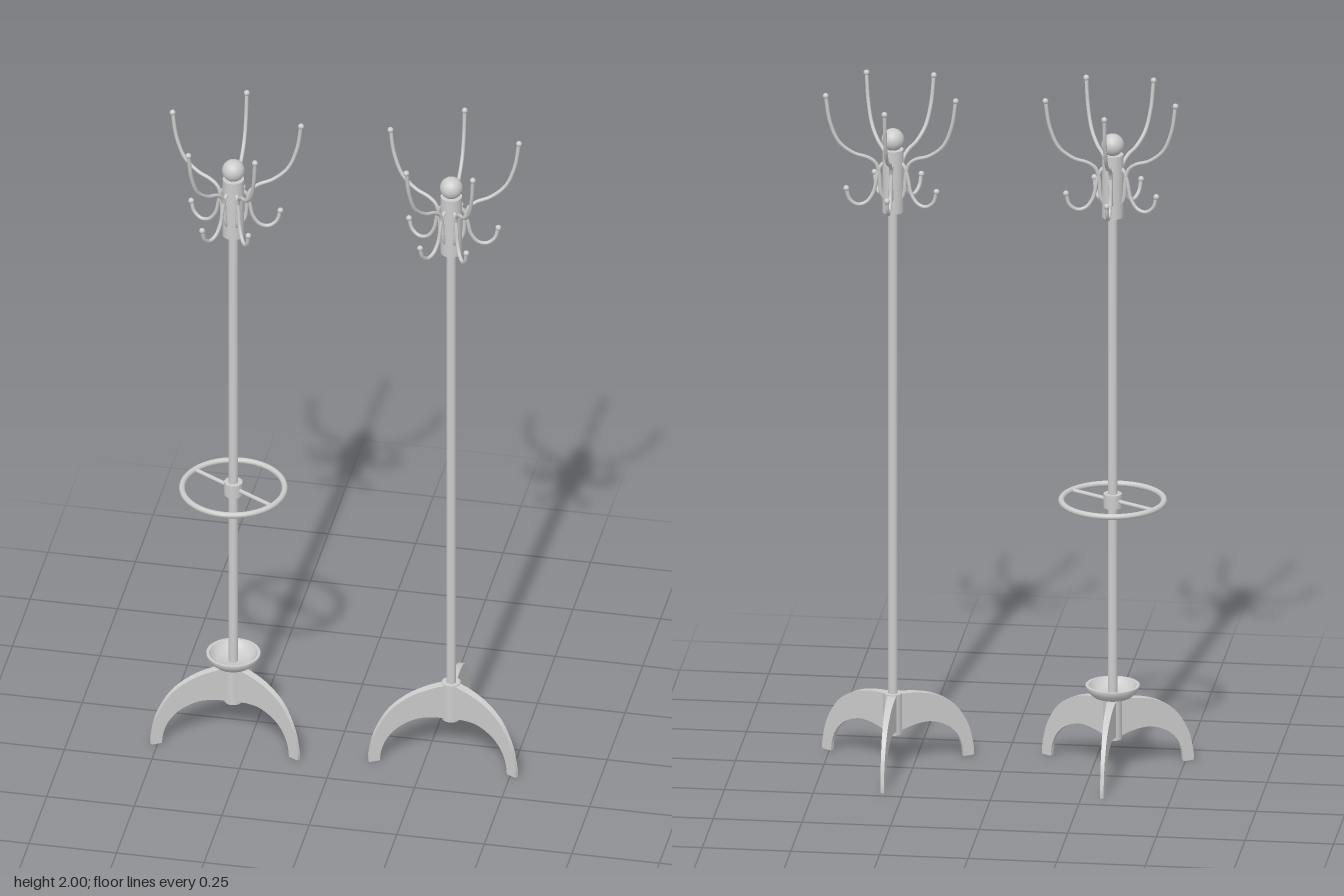
import * as THREE from 'three';
import { toCreasedNormals } from 'three/addons/utils/BufferGeometryUtils.js';

const grey = new THREE.MeshStandardMaterial({ color: 0xcccccc });
const greyDouble = new THREE.MeshStandardMaterial({ color: 0xcccccc, side: THREE.DoubleSide });

function add(parent, name, geometry, x = 0, y = 0, z = 0, material = grey) {
  const mesh = new THREE.Mesh(geometry, material);
  mesh.name = name;
  mesh.position.set(x, y, z);
  parent.add(mesh);
  return mesh;
}

// Upright cylinder given by its bottom and top heights
function post(parent, name, radius, y0, y1) {
  return add(parent, name, new THREE.CylinderGeometry(radius, radius, y1 - y0, 24), 0, (y0 + y1) / 2, 0);
}

// Bent rod in the (radius, height) plane with a small ball on its tip
function rod(parent, name, points, radius) {
  const curve = new THREE.CatmullRomCurve3(points.map(([r, y]) => new THREE.Vector3(r, y, 0)));
  add(parent, name, new THREE.TubeGeometry(curve, 40, radius, 8));
  const [r, y] = points[points.length - 1];
  add(parent, name + 'Tip', new THREE.SphereGeometry(0.0085, 12, 8), r, y, 0);
}

// Arched flat foot that gets thinner towards the ground
function legGeometry() {
  const v = ([x, y]) => new THREE.Vector2(x, y);
  const shape = new THREE.Shape();
  shape.moveTo(0, 0.212);
  shape.splineThru([[0.06, 0.21], [0.125, 0.195], [0.185, 0.158], [0.226, 0.095], [0.243, 0.03], [0.244, 0]].map(v));
  shape.lineTo(0.213, 0);
  shape.splineThru([[0.208, 0.035], [0.192, 0.07], [0.16, 0.1], [0.11, 0.118], [0.06, 0.115], [0.015, 0.102]].map(v));
  shape.lineTo(0, 0.102);
  const geo = new THREE.ExtrudeGeometry(shape, { depth: 1, bevelEnabled: false, curveSegments: 5 });
  const p = geo.attributes.position;
  for (let i = 0; i < p.count; i++) {
    const thickness = 0.027 - 0.017 * (p.getX(i) / 0.244);
    p.setZ(i, (p.getZ(i) - 0.5) * thickness);
  }
  return toCreasedNormals(geo, 0.6);
}

const ARM = [[0.022, 1.675], [0.034, 1.7], [0.038, 1.75], [0.048, 1.785], [0.07, 1.803],
  [0.11, 1.818], [0.152, 1.853], [0.178, 1.915], [0.19, 1.991]];
const HOOK = [[0.022, 1.79], [0.036, 1.775], [0.046, 1.74], [0.055, 1.7], [0.075, 1.672],
  [0.1, 1.666], [0.122, 1.682], [0.132, 1.715]];

function createStand() {
  const stand = new THREE.Group();

  // Pole with hub, head and finial
  post(stand, 'pole', 0.0135, 0.12, 1.66);
  post(stand, 'legHub', 0.026, 0.095, 0.215);
  post(stand, 'head', 0.03, 1.64, 1.825);
  post(stand, 'finialNeck', 0.015, 1.82, 1.84);
  add(stand, 'finialBall', new THREE.SphereGeometry(0.032, 24, 16), 0, 1.853, 0);

  // Three legs: one to the back, two forward
  const leg = legGeometry();
  for (const degrees of [90, -30, -150]) {
    add(stand, 'leg', leg).rotation.y = THREE.MathUtils.degToRad(degrees);
  }

  // Five pairs of a tall coat arm and a small hook
  for (const degrees of [90, 15, 165, -60, -120]) {
    const pair = new THREE.Group();
    pair.name = 'hookPair';
    pair.rotation.y = THREE.MathUtils.degToRad(degrees);
    rod(pair, 'coatArm', ARM, 0.0055);
    rod(pair, 'smallHook', HOOK, 0.0055);
    stand.add(pair);
  }
  return stand;
}

// Umbrella ring on a cross bar, and the drip dish below it
function addUmbrellaHolder(stand) {
  const ring = add(stand, 'umbrellaRing', new THREE.TorusGeometry(0.144, 0.0085, 12, 48), 0, 0.8, 0);
  ring.rotation.x = Math.PI / 2;
  post(stand, 'ringHub', 0.026, 0.78, 0.82);
  const bar = add(stand, 'ringBar', new THREE.CylinderGeometry(0.006, 0.006, 0.288, 12), 0, 0.8, 0);
  bar.rotation.set(0, -Math.PI / 6, Math.PI / 2, 'YXZ');

  const profile = [[0, 0.215], [0.036, 0.215], [0.055, 0.222], [0.069, 0.235], [0.076, 0.248], [0.076, 0.254],
    [0.068, 0.254], [0.06, 0.241], [0.046, 0.231], [0, 0.227]];
  const dish = new THREE.LatheGeometry(profile.map(([r, y]) => new THREE.Vector2(r, y)), 40);
  add(stand, 'dripDish', toCreasedNormals(dish, 0.7), 0, 0, 0, greyDouble);
}

export function createModel() {
  const model = new THREE.Group();
  model.name = 'coatStands';

  const umbrellaStand = createStand();
  umbrellaStand.name = 'umbrellaCoatStand';
  umbrellaStand.position.set(-0.308, 0, 0.05);
  addUmbrellaHolder(umbrellaStand);

  const plainStand = createStand();
  plainStand.name = 'plainCoatStand';
  plainStand.position.set(0.308, 0, 0.018);

  model.add(umbrellaStand, plainStand);
  return model;
}
